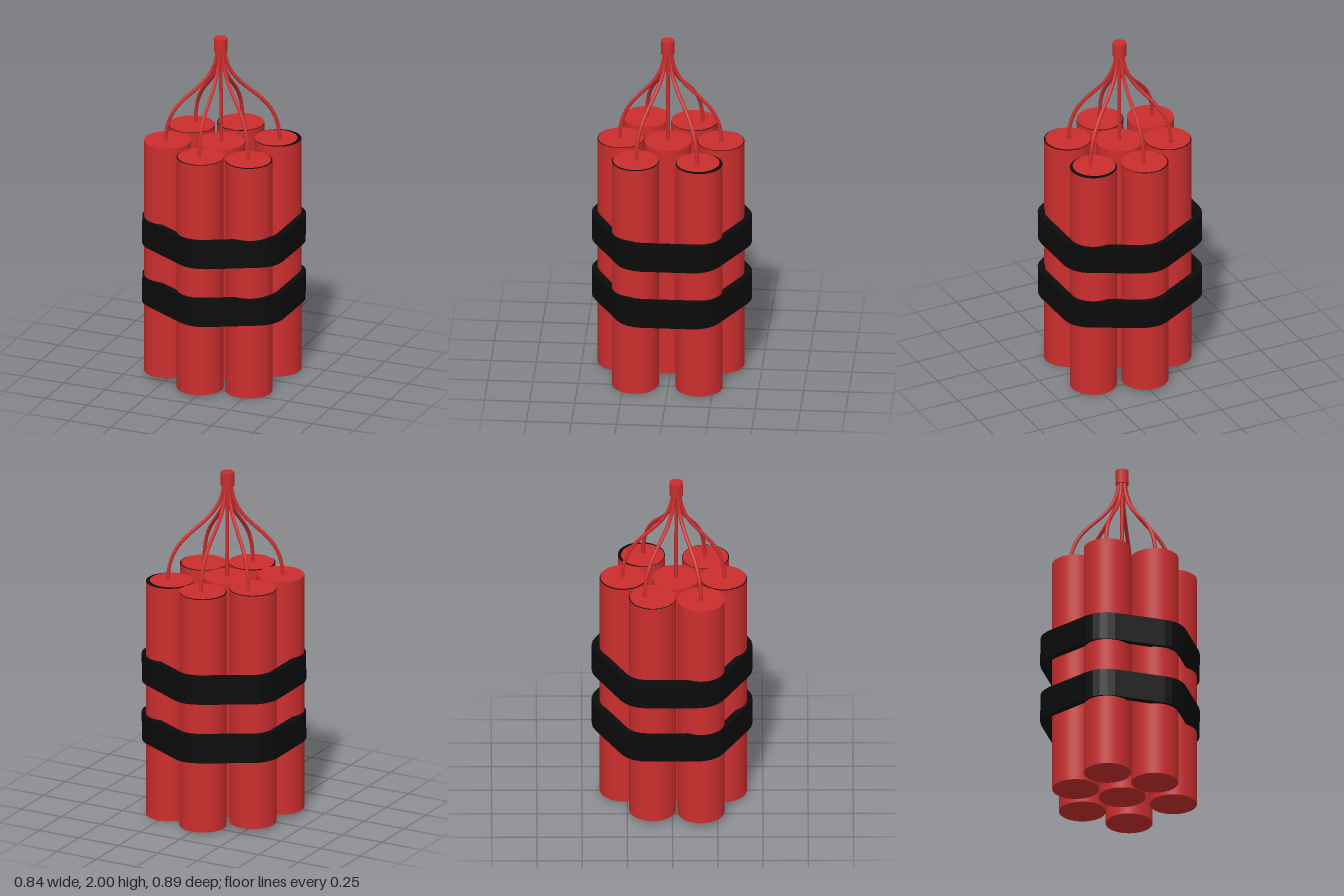
import * as THREE from 'three';

const RADIUS = 0.13, LENGTH = 1.37;
const HUB = { x: -0.012, z: 0.022 };

// x, z, base height, fuse x, fuse z, dark rim width, rim direction x, z
const STICKS = [
  [-0.010, 0.020, 0.015, -0.010, 0.020, 0, 0, 0],
  [-0.020, -0.272, 0.018, -0.010, -0.277, 0.003, -0.95, -0.3],
  [0.248, -0.171, 0.004, 0.263, -0.162, 0.011, 0.75, -0.66],
  [0.229, 0.184, 0, 0.224, 0.180, 0.004, 0.95, 0.3],
  [-0.023, 0.282, 0.015, -0.024, 0.290, 0.003, -0.95, 0.3],
  [-0.273, 0.158, 0.030, -0.285, 0.158, 0, 0, 0],
  [-0.245, -0.110, 0.027, -0.242, -0.155, 0.002, -0.4, -0.9],
];

// Corner arcs of the strap outline, a hexagon with rounded corners
function strapOutline(radius) {
  const points = [];
  for (let corner = 0; corner < 6; corner++) {
    const angle = Math.PI / 6 + corner * Math.PI / 3;
    const cx = Math.cos(angle) * 0.294, cy = Math.sin(angle) * 0.28;
    for (let i = 0; i <= 4; i++) {
      const a = angle + (i / 4 - 0.5) * Math.PI / 3;
      points.push(new THREE.Vector2(cx + Math.cos(a) * radius, cy + Math.sin(a) * radius));
    }
  }
  return points;
}

export function createModel() {
  const model = new THREE.Group();
  model.name = 'bundle';
  const red = new THREE.MeshStandardMaterial({ color: 0xcc2e2e });
  red.name = 'red';
  const black = new THREE.MeshStandardMaterial({ color: 0x0b0b0b });
  black.name = 'black';

  const add = (name, geometry, material, x = 0, y = 0, z = 0) => {
    const mesh = new THREE.Mesh(geometry, material);
    mesh.name = name;
    mesh.position.set(x, y, z);
    model.add(mesh);
    return mesh;
  };

  const stickGeometry = new THREE.CylinderGeometry(RADIUS, RADIUS, LENGTH, 48);
  for (const [x, z, base, fx, fz, rim, dx, dz] of STICKS) {
    // Stick, with a dark top where a thin rim shows beside the cover
    const top = base + LENGTH;
    add('stick', stickGeometry, rim ? [red, black, red] : red, x, base + LENGTH / 2, z);
    if (rim) {
      const cover = new THREE.CircleGeometry(RADIUS - rim, 48).rotateX(-Math.PI / 2);
      add('stickCover', cover, red, x - dx * rim, top + 0.003, z - dz * rim);
    }

    // Fuse rising from the stick and bending in to the hub
    const inward = (k) => [HUB.x + (fx - HUB.x) * k, HUB.z + (fz - HUB.z) * k];
    const [ax, az] = inward(0.1), [bx, bz] = inward(0.06);
    const path = new THREE.CubicBezierCurve3(
      new THREE.Vector3(fx, top - 0.01, fz),
      new THREE.Vector3(fx, 1.70, fz),
      new THREE.Vector3(ax, 1.65, az),
      new THREE.Vector3(bx, 1.94, bz));
    add('fuse', new THREE.TubeGeometry(path, 24, 0.0105, 8), red);
  }

  // Cap that gathers the fuses
  add('fuseCap', new THREE.CylinderGeometry(0.038, 0.038, 0.08, 12), red, HUB.x, 1.96, HUB.z);

  // Two straps around the bundle
  const outline = new THREE.Shape(strapOutline(0.164));
  outline.holes.push(new THREE.Path(strapOutline(0.126)));
  const strapGeometry = new THREE.ExtrudeGeometry(outline, { depth: 0.16, bevelEnabled: false });
  strapGeometry.translate(0, 0, -0.08).rotateX(Math.PI / 2);
  for (const y of [0.518, 0.863]) {
    add('strap', strapGeometry, black, -0.003, y, -0.002).rotation.z = -0.008;
  }

  return model;
}
